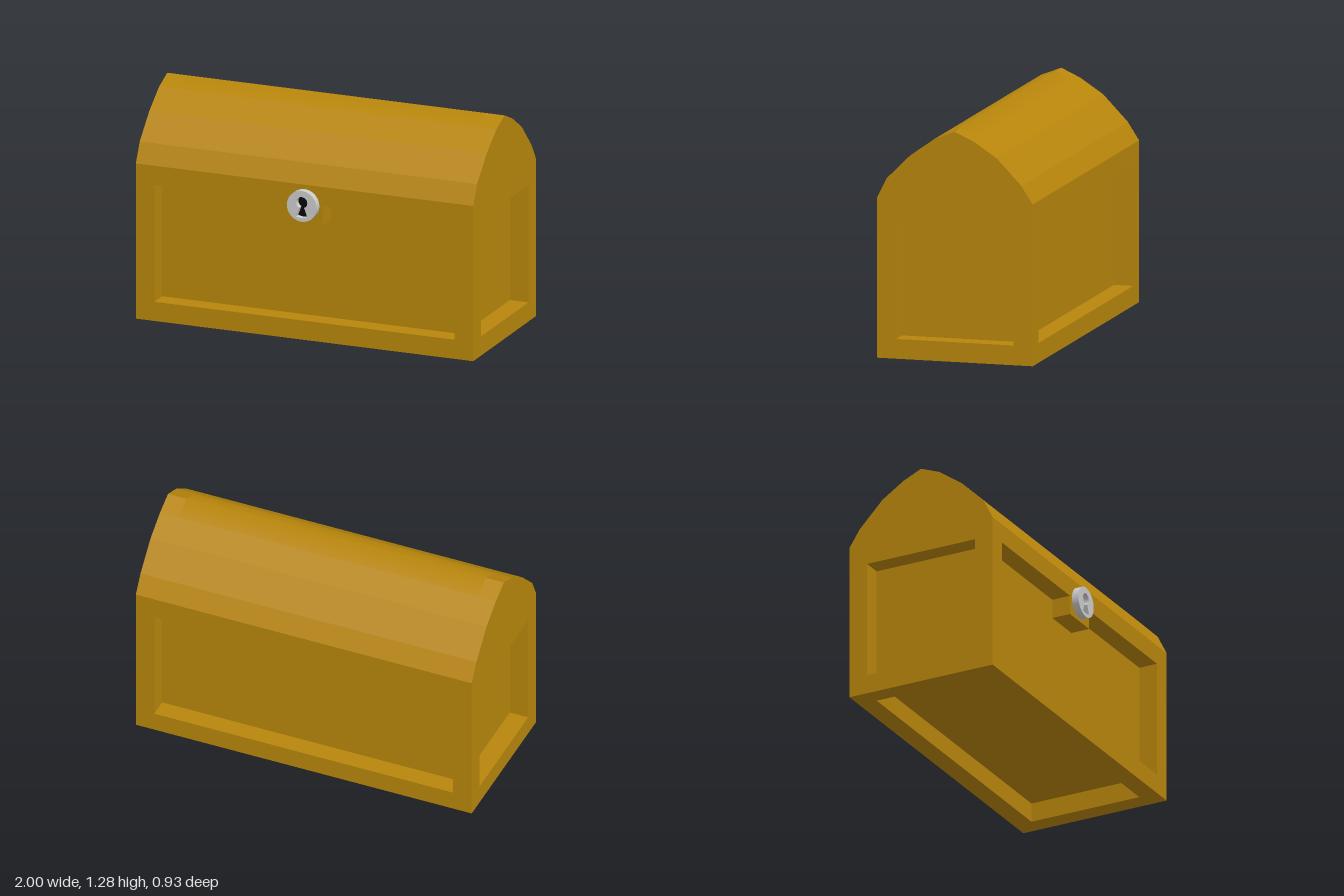
import * as THREE from 'three';

const wood = new THREE.MeshStandardMaterial({ color: 0xb8860b });
const metal = new THREE.MeshStandardMaterial({ color: 0xcccccc });
const dark = new THREE.MeshStandardMaterial({ color: 0x080808 });

const FRONT = 0.425, BACK = -0.465, BAR = 0.11, RIM = 0.78;
const IN_X = 1 - BAR, IN_F = FRONT - BAR, IN_B = BACK + BAR;

// Box given by its two extreme corners
function box(name, [x0, y0, z0], [x1, y1, z1]) {
  const mesh = new THREE.Mesh(new THREE.BoxGeometry(x1 - x0, y1 - y0, z1 - z0), wood);
  mesh.position.set((x0 + x1) / 2, (y0 + y1) / 2, (z0 + z1) / 2);
  mesh.name = name;
  return mesh;
}

// Faceted pointed arch of the lid, as [z, y]
const APEX = [-0.02, 1.28];
const arch = [
  [FRONT, RIM], [FRONT, 0.89], [0.37, 1.0], [0.235, 1.135], [0.095, 1.235], APEX,
  [-0.13, 1.23], [-0.26, 1.145], [-0.4, 1.0], [BACK, 0.9], [BACK, RIM],
];

// A length of lid between two x positions; softRidge blends the two faces at the apex
function lidSection(name, x0, x1, softRidge) {
  const shape = new THREE.Shape(arch.map(([z, y]) => new THREE.Vector2(-z, y)));
  const geo = new THREE.ExtrudeGeometry(shape, { depth: x1 - x0, bevelEnabled: false });
  geo.rotateY(Math.PI / 2).translate(x0, 0, 0);
  if (softRidge) {
    const p = geo.attributes.position, n = geo.attributes.normal;
    for (let i = 0; i < p.count; i++) {
      if (p.getY(i) > APEX[1] - 0.001 && Math.abs(n.getX(i)) < 0.5) n.setXYZ(i, 0, 1, 0);
    }
  }
  const mesh = new THREE.Mesh(geo, wood);
  mesh.name = name;
  return mesh;
}

// Keyhole outline: round top with a flared slot below
function keyholePath(path) {
  path.moveTo(-0.033, -0.06);
  path.quadraticCurveTo(0, -0.074, 0.033, -0.06);
  path.lineTo(0.014, -0.008);
  path.absarc(0, 0.02, 0.033, -1.1, Math.PI + 1.1, false);
  path.closePath();
  return path;
}

function createLock() {
  const lock = new THREE.Group();
  lock.name = 'lock';
  const disc = new THREE.Shape().absarc(0, 0, 0.088, 0, Math.PI * 2, false);
  disc.holes.push(keyholePath(new THREE.Path()));
  const plate = new THREE.Mesh(
    new THREE.ExtrudeGeometry(disc, { depth: 0.04, bevelEnabled: false, curveSegments: 24 }), metal);
  plate.name = 'lockPlate';
  const keyhole = new THREE.Mesh(new THREE.ShapeGeometry(keyholePath(new THREE.Shape())), dark);
  keyhole.name = 'keyhole';
  keyhole.position.z = 0.008;
  lock.add(plate, keyhole);
  lock.position.set(0, 0.777, FRONT);
  return lock;
}

export function createModel() {
  const chest = new THREE.Group();
  chest.name = 'chest';

  // Inner box whose sides are the sunken panels
  chest.add(box('innerPanels', [-IN_X, BAR, IN_B], [IN_X, RIM, IN_F]));

  // Frame: long and short bottom rails, and corner posts
  for (const [z0, z1, end] of [[IN_F, FRONT, 'front'], [BACK, IN_B, 'back']]) {
    chest.add(box(end + 'BottomRail', [-1, 0, z0], [1, BAR, z1]));
    chest.add(box(end + 'RightPost', [-1, BAR, z0], [-IN_X, RIM, z1]));
    chest.add(box(end + 'LeftPost', [IN_X, BAR, z0], [1, RIM, z1]));
  }
  chest.add(box('rightBottomRail', [-1, 0, IN_B], [-IN_X, BAR, IN_F]));
  chest.add(box('leftBottomRail', [IN_X, 0, IN_B], [1, BAR, IN_F]));

  // Block under the lid that carries the lock
  chest.add(box('lockBlock', [-0.11, 0.67, IN_F], [0.11, RIM, FRONT]));

  // Lid with crisp ends and a softened middle ridge
  chest.add(
    lidSection('lidRightEnd', -1, -IN_X, false),
    lidSection('lidMiddle', -IN_X, IN_X, true),
    lidSection('lidLeftEnd', IN_X, 1, false),
  );

  chest.add(createLock());
  return chest;
}
